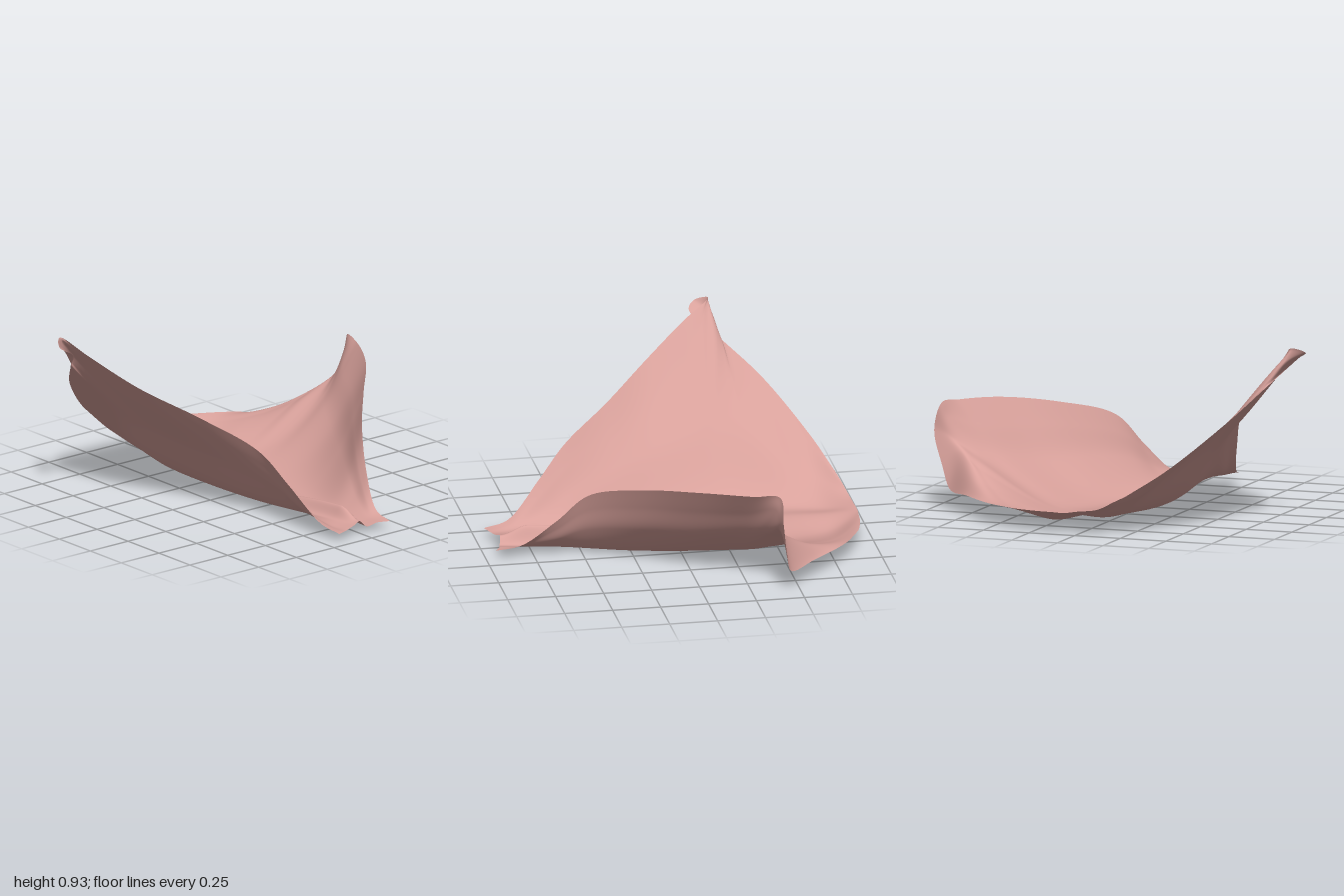
import * as THREE from 'three';

const { lerp, smoothstep } = THREE.MathUtils;

// Lengthwise rails [x, y, z], all with 14 stations from the stem end to the rim of the tip
const leftEdge = [
  [0.95, 0.045, 0.175], [0.82, 0.075, 0.195], [0.65, 0.25, 0.265], [0.5, 0.41, 0.34], [0.25, 0.555, 0.51],
  [0, 0.7, 0.72], [-0.22, 0.842, 0.865], [-0.365, 0.93, 0.945], [-0.3, 0.9, 1], [-0.265, 0.865, 0.95],
  [-0.41, 0.74, 0.84], [-0.6, 0.57, 0.69], [-0.8, 0.335, 0.435], [-0.895, 0.2, 0.24],
];
const leftWall = [
  [0.92, 0.042, 0.1], [0.82, 0.045, 0.12], [0.65, 0.095, 0.17], [0.5, 0.18, 0.215], [0.25, 0.26, 0.3],
  [0, 0.33, 0.4], [-0.2, 0.385, 0.47], [-0.3, 0.41, 0.5], [-0.34, 0.415, 0.505], [-0.39, 0.41, 0.5],
  [-0.46, 0.385, 0.475], [-0.6, 0.3, 0.39], [-0.78, 0.18, 0.27], [-0.935, 0.13, 0.1],
];
const spine = [
  [0.9, 0.065, 0], [0.79, 0.06, 0], [0.65, 0.05, 0], [0.5, 0.037, 0], [0.25, 0.025, 0],
  [0, 0.03, 0], [-0.2, 0.04, 0], [-0.3, 0.047, 0], [-0.35, 0.05, 0], [-0.4, 0.053, 0],
  [-0.46, 0.057, 0], [-0.6, 0.065, 0], [-0.8, 0.075, -0.03], [-0.95, 0.105, -0.08],
];
const rightWall = [
  [0.92, 0.042, -0.1], [0.82, 0.045, -0.12], [0.65, 0.09, -0.18], [0.5, 0.16, -0.25], [0.25, 0.2, -0.4],
  [0, 0.21, -0.55], [-0.22, 0.25, -0.68], [-0.31, 0.27, -0.75], [-0.36, 0.27, -0.77], [-0.42, 0.255, -0.75],
  [-0.48, 0.21, -0.7], [-0.6, 0.135, -0.58], [-0.78, 0.08, -0.4], [-0.935, 0.105, -0.23],
];
const rightEdge = [
  [0.95, 0.045, -0.16], [0.82, 0.07, -0.175], [0.65, 0.22, -0.25], [0.5, 0.385, -0.345], [0.25, 0.475, -0.56],
  [0, 0.525, -0.78], [-0.25, 0.54, -0.925], [-0.38, 0.54, -0.965], [-0.392, 0.4, -1], [-0.42, 0.22, -0.945],
  [-0.45, 0.11, -0.895], [-0.6, 0.105, -0.745], [-0.8, 0.105, -0.54], [-0.9, 0.105, -0.37],
];

// Fold lines inside the edges, over the last 7 stations
const leftFold = [
  [-0.36, 0.91, 0.93], [-0.375, 0.865, 0.915], [-0.39, 0.8, 0.872],
  [-0.418, 0.725, 0.818], [-0.6, 0.525, 0.64], [-0.795, 0.295, 0.395], [-0.913, 0.17, 0.18],
];
const rightFold = [
  [-0.365, 0.46, -0.93], [-0.385, 0.37, -0.92], [-0.405, 0.31, -0.875],
  [-0.44, 0.265, -0.82], [-0.585, 0.165, -0.69], [-0.785, 0.1, -0.495], [-0.915, 0.105, -0.32],
];

// Rail between wall and edge that turns into the fold line near the tip
function crest(wall, edge, fold) {
  const start = wall.slice(0, 7).map(([x, y, z], i) => {
    const [ex, ey, ez] = edge[i];
    return [lerp(x, ex, 0.58), lerp(y, ey, 0.56), lerp(z, ez, 0.58)];
  });
  return [...start, ...fold];
}

// Flat floor beside the spine, partway out to a wall
function valley(wall, reach, lift) {
  return wall.map(([x, y, z], i) => {
    const [sx, sy, sz] = spine[i];
    const last = i === wall.length - 1;
    const rise = last ? reach : 0.06;
    return [lerp(sx, x, reach), lerp(sy, y, rise) + (last ? 0 : lift), lerp(sz, z, reach)];
  });
}

const curve = (points) => new THREE.CatmullRomCurve3(points.map((p) => new THREE.Vector3(...p)));

// Narrow raised vein along the middle of the stem half
function vein(p) {
  const length = smoothstep(p.x, -0.05, 0.6) * (1 - smoothstep(p.x, 0.75, 0.9));
  const width = lerp(0.05, 0.03, smoothstep(p.x, 0.1, 0.75));
  return 0.055 * length * Math.exp(-((p.z / width) ** 2));
}

function petalGeometry(rows, columns) {
  const rails = [
    leftEdge, crest(leftWall, leftEdge, leftFold), leftWall, valley(leftWall, 0.4, -0.01),
    spine,
    valley(rightWall, 0.42, -0.034), rightWall, crest(rightWall, rightEdge, rightFold), rightEdge,
  ].map(curve);
  const positions = [];
  const index = [];
  for (let i = 0; i <= rows; i++) {
    const section = new THREE.CatmullRomCurve3(rails.map((rail) => rail.getPoint(i / rows)));
    for (let j = 0; j <= columns; j++) {
      const p = section.getPoint(j / columns);
      positions.push(p.x, Math.max(0, p.y + vein(p)), p.z);
      if (i < rows && j < columns) {
        const a = i * (columns + 1) + j;
        const b = a + columns + 1;
        index.push(a, a + 1, b, a + 1, b + 1, b);
      }
    }
  }
  const geometry = new THREE.BufferGeometry();
  geometry.setAttribute('position', new THREE.Float32BufferAttribute(positions, 3));
  geometry.setIndex(index);
  geometry.computeVertexNormals();
  return geometry;
}

export function createModel() {
  const pink = new THREE.MeshStandardMaterial({ color: 0xd8a19b, side: THREE.DoubleSide });
  pink.name = 'petalPink';

  const petal = new THREE.Mesh(petalGeometry(156, 96), pink);
  petal.name = 'petal';

  const model = new THREE.Group();
  model.name = 'flowerPetal';
  model.add(petal);
  return model;
}
